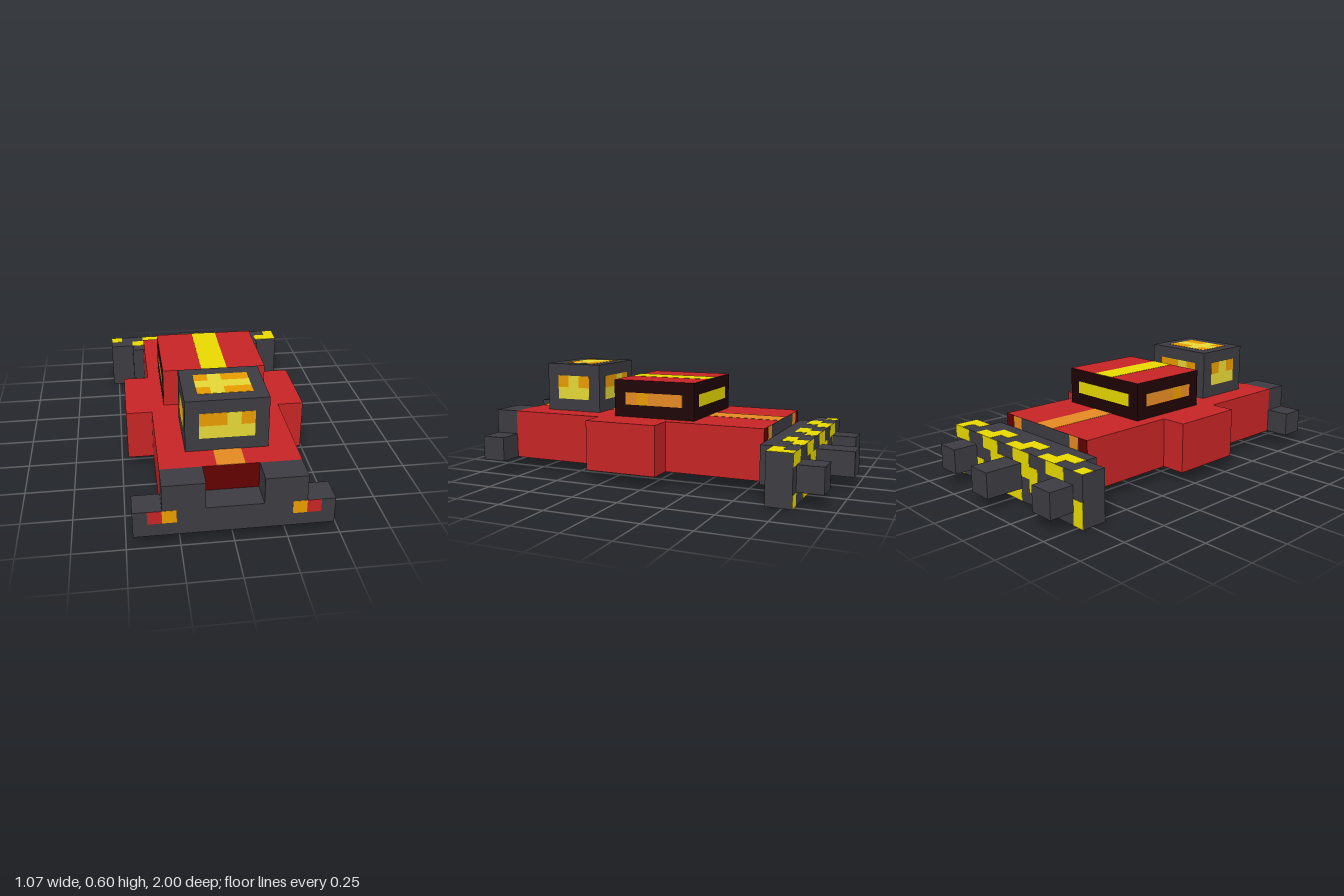
import * as THREE from 'three';

const U = 1 / 15; // block size
const T = 0.02;   // plate thickness in blocks

const colour = (name, hex) => {
  const m = new THREE.MeshStandardMaterial({ color: hex });
  m.name = name;
  return m;
};

export function createModel() {
  const red = colour('red paint', 0xc62425);
  const grey = colour('dark grey metal', 0x3c3b41);
  const yellow = colour('hazard yellow', 0xeadb00);
  const pale = colour('pale yellow glass', 0xe4d636);
  const amber = colour('amber', 0xe79a00);
  const copper = colour('copper stripe', 0xe48a22);
  const darkRed = colour('dark red', 0x620000);
  const black = colour('near black', 0x1e0204);

  const model = new THREE.Group();
  model.name = 'vehicle';

  // Box from block limits; an array of materials follows +x, -x, +y, -y, +z, -z
  const box = (name, mat, x0, x1, y0, y1, z0, z1) => {
    const mesh = new THREE.Mesh(new THREE.BoxGeometry((x1 - x0) * U, (y1 - y0) * U, (z1 - z0) * U), mat);
    mesh.position.set((x0 + x1) / 2 * U, (y0 + y1) / 2 * U, (z0 + z1) / 2 * U);
    mesh.name = name;
    model.add(mesh);
  };

  // Thin plate lying on a face: side is 'x', 'y' or 'z', sign is its direction.
  // (u, v) are (z, y) on x faces, (x, z) on y faces and (x, y) on z faces.
  const plate = (name, mat, side, sign, at, u0, u1, v0, v1) => {
    const a = Math.min(at, at + sign * T), b = Math.max(at, at + sign * T);
    if (side === 'x') box(name, mat, a, b, v0, v1, u0, u1);
    else if (side === 'y') box(name, mat, u0, u1, a, b, v0, v1);
    else box(name, mat, u0, u1, v0, v1, a, b);
  };

  // Hull with side pods and centre stripe
  box('hull', [red, red, red, darkRed, darkRed, darkRed], -5, 5, 1, 5, -9, 13);
  for (const s of [-1, 1]) {
    const [a, b] = s < 0 ? [-7, -5] : [5, 7];
    box('sidePod', [red, red, red, darkRed, red, red], a, b, 1, 5, -1, 5);
  }
  plate('hullStripe', copper, 'y', 1, 5, -1, 1, -9, -3);
  plate('hullStripe', copper, 'y', 1, 5, -1, 1, 4, 6);
  plate('hullStripe', copper, 'y', 1, 5, -1, 1, 11, 13);

  // Front bumper, posts and lights
  box('frontBumper', [grey, grey, grey, black, grey, grey], -7, 7, 1, 3, 13, 15);
  for (const s of [-1, 1]) {
    const span = (a, b) => (s < 0 ? [-b, -a] : [a, b]);
    box('bumperPost', grey, ...span(2, 5), 3, 5, 13, 15);
    plate('headlight', amber, 'z', 1, 15, ...span(4, 5), 2, 3);
    plate('markerLight', red, 'z', 1, 15, ...span(5, 6), 2, 3);
    plate('tailLight', copper, 'z', -1, -9, ...span(3, 4), 4, 5);
  }
  plate('tailPanel', grey, 'z', -1, -9, -3, 3, 4, 5);

  // Cabin with windows on every side and the roof
  box('cabin', grey, -3, 3, 5, 9, 6, 11);
  for (const s of [-1, 1]) {
    // front and back
    plate('windowLower', pale, 'z', s, s > 0 ? 11 : 6, -2, 2, 6, 7);
    for (const [a, b, m] of [[-2, 0, amber], [0, 1, pale], [1, 2, amber]]) {
      const [u0, u1] = s > 0 ? [a, b] : [-b, -a];
      plate('windowUpper', m, 'z', s, s > 0 ? 11 : 6, u0, u1, 7, 8);
    }
    // left and right
    plate('sideWindowLower', pale, 'x', s, s * 3, 7, 10, 6, 7);
    for (let z = 7; z < 10; z++) {
      plate('sideWindowUpper', z === 8 ? pale : amber, 'x', s, s * 3, z, z + 1, 7, 8);
    }
  }
  plate('roofWindowMiddle', pale, 'y', 1, 9, -2, 2, 8, 9);
  for (const z of [7, 9]) {
    for (const [a, b, m] of [[-2, -1, amber], [-1, 0, pale], [0, 2, amber]]) {
      plate('roofWindowEdge', m, 'y', 1, 9, a, b, z, z + 1);
    }
  }

  // Engine housing with glowing vents
  box('engineHousing', [black, black, red, black, red, black], -4, 4, 5, 8, -3, 4);
  plate('engineStripe', yellow, 'y', 1, 8, -1, 1, -3, 4);
  plate('rearVent', yellow, 'z', -1, -3, -3, 3, 6, 7);
  for (const s of [-1, 1]) {
    plate('sideVent', copper, 'x', s, s * 4, -2, 1, 6, 7);
    plate('sideVentGlow', amber, 'x', s, s * 4, 1, 2, 6, 7);
    plate('sideVent', copper, 'x', s, s * 4, 2, 3, 6, 7);
  }

  // Rear plough, its mount and prongs
  box('ploughMount', grey, -6, 6, 1, 4, -10, -9);
  box('plough', grey, -8, 8, 0, 4, -12, -10);
  box('centreProng', grey, -1, 1, 1, 3, -15, -12);
  for (const x of [-7, 5]) box('sideProng', grey, x, x + 2, 1, 3, -14, -12);

  // Diagonal hazard stripes on the top and back of the plough
  const hazard = (phase, draw) => {
    const on = (x) => (x + phase + 16) % 4 < 2;
    for (let x = -8; x < 8; x++) {
      if (!on(x)) continue;
      const start = x;
      while (x + 1 < 8 && on(x + 1)) x++;
      draw(start, x + 1);
    }
  };
  for (let r = 0; r < 2; r++) {
    hazard(5 + r, (a, b) => plate('hazardTop', yellow, 'y', 1, 4, a, b, r - 12, r - 11));
  }
  for (let r = 0; r < 4; r++) {
    hazard(2 + r, (a, b) => plate('hazardBack', yellow, 'z', -1, -12, a, b, 3 - r, 4 - r));
  }

  return model;
}
